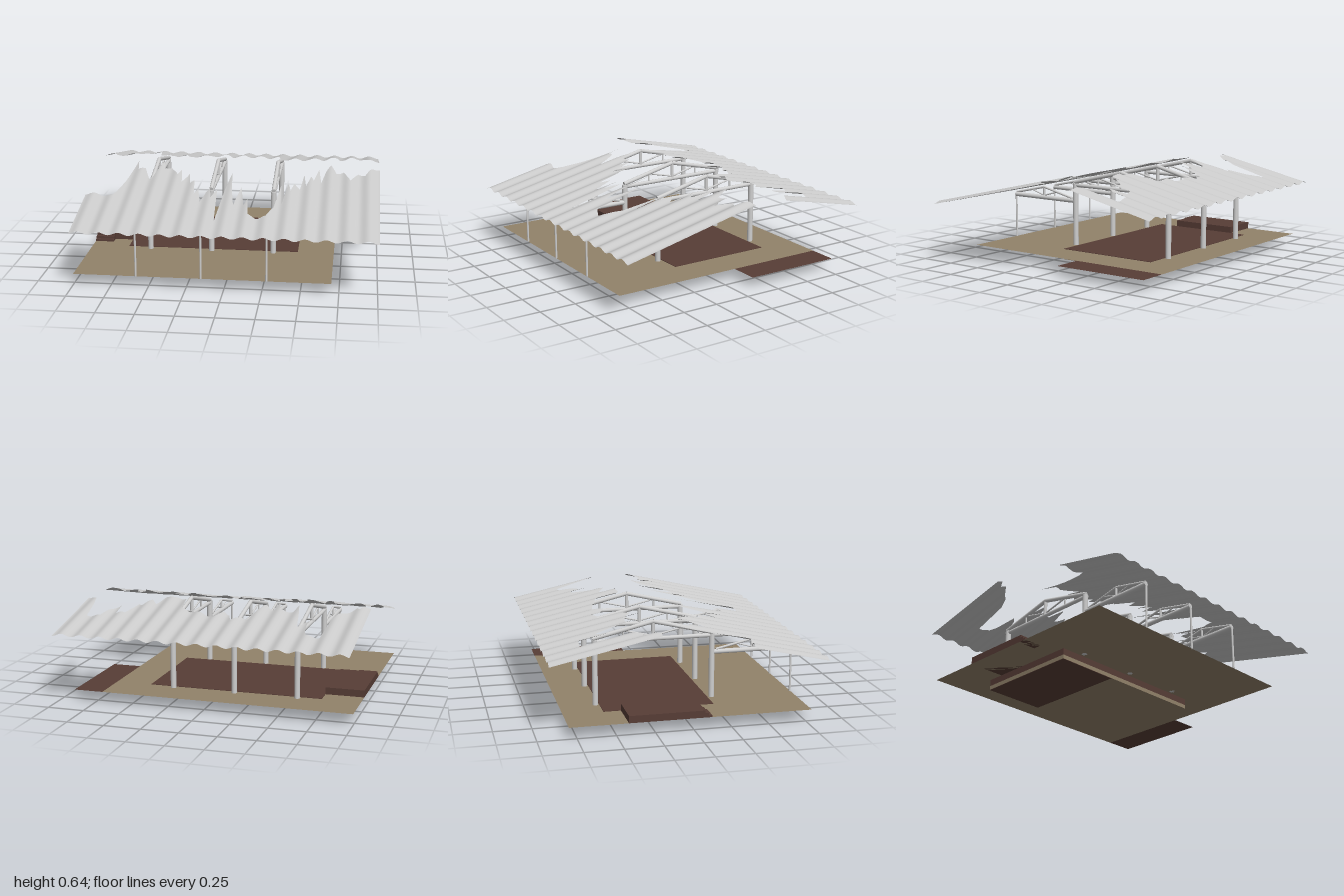
import * as THREE from 'three';

const mat = (name, color, side = THREE.FrontSide) => {
  const m = new THREE.MeshStandardMaterial({ color, side });
  m.name = name;
  return m;
};

// Torn edges of the two roof sheets, as x, z pairs
const backEdge = [
  -0.99, -0.2, -0.95, -0.2, -0.92, -0.25, -0.9, -0.22, -0.85, -0.29, -0.8, -0.34, -0.77, -0.42, -0.75, -0.68,
  -0.66, -0.68, -0.64, -0.62, -0.62, -0.46, -0.6, -0.48, -0.57, -0.55, -0.54, -0.38, -0.51, -0.24, -0.49, -0.33,
  -0.4, -0.33, -0.37, -0.21, -0.35, -0.33, -0.3, -0.27, -0.25, -0.35, -0.22, -0.48, -0.17, -0.47, -0.11, -0.53,
  -0.08, -0.44, -0.03, -0.4, 0.01, -0.5, 0.08, -0.46, 0.15, -0.44, 0.22, -0.42, 0.27, -0.4, 0.29, -0.25,
  0.35, -0.22, 0.4, -0.24, 0.45, -0.22, 0.48, -0.34, 0.52, -0.3, 0.57, -0.38, 0.6, -0.35, 0.64, -0.52,
  0.7, -0.53, 0.71, -0.4, 0.77, -0.49, 0.79, -0.59, 0.89, -0.59, 0.91, -0.42, 0.93, -0.33, 0.97, -0.31, 1, -0.3,
];
const frontEdge = [
  -0.99, 0.41, -0.9, 0.41, -0.8, 0.43, -0.78, 0.38, -0.75, 0.22, -0.71, -0.08, -0.69, 0.05, -0.64, 0.04,
  -0.6, 0.15, -0.58, 0.18, -0.55, 0.05, -0.52, -0.05, -0.5, 0.03, -0.46, 0, -0.4, 0.12, -0.38, 0.05,
  -0.36, 0.2, -0.32, 0.08, -0.3, 0.22, -0.27, 0.2, -0.25, 0.38, -0.23, 0.3, -0.2, 0.45, -0.17, 0.33,
  -0.15, 0.3, -0.13, 0.42, -0.1, 0.3, -0.075, 0.7, -0.05, 0.3, -0.02, 0.07, 0, 0.3, 0.03, 0.5,
  0.06, 0.24, 0.1, 0.5, 0.12, 0.42, 0.14, 0.62, 0.2, 0.65, 0.26, 0.63, 0.3, 0.52, 0.33, 0.2,
  0.35, 0.45, 0.38, 0.2, 0.4, 0.3, 0.42, 0.2, 0.46, 0.25, 0.48, 0.05, 0.5, 0.22, 0.53, 0.1,
  0.55, 0.15, 0.58, -0.03, 0.6, 0.15, 0.63, 0, 0.66, -0.07, 0.7, 0.03, 0.75, 0, 0.8, 0.14,
  0.85, 0.02, 0.9, 0.05, 0.94, -0.03, 1, -0.05,
];

function edgeAt(edge, x) {
  for (let i = 0; i < edge.length - 2; i += 2) {
    if (x <= edge[i + 2]) {
      const t = (x - edge[i]) / (edge[i + 2] - edge[i]);
      return edge[i + 1] + t * (edge[i + 3] - edge[i + 1]);
    }
  }
  return edge[edge.length - 1];
}

// Corrugated sheet running from a straight eave to a torn edge
function roofSheet(edge, eaveZ, heightAt) {
  const n = 398, pos = [], index = [];
  for (let i = 0; i <= n; i++) {
    const x = -0.99 + (1.99 * i) / n;
    const wave = 0.009 * Math.cos((x * 2 * Math.PI) / 0.133);
    for (const z of [eaveZ, edgeAt(edge, x)]) pos.push(x, heightAt(z) + wave, z);
    if (i < n) {
      const a = i * 2;
      if (eaveZ > 0) index.push(a, a + 2, a + 1, a + 1, a + 2, a + 3);
      else index.push(a, a + 1, a + 2, a + 1, a + 3, a + 2);
    }
  }
  const g = new THREE.BufferGeometry();
  g.setAttribute('position', new THREE.Float32BufferAttribute(pos, 3));
  g.setIndex(index);
  g.computeVertexNormals();
  return g;
}

export function createModel() {
  const model = new THREE.Group();
  model.name = 'tornRoofPavilion';
  const brown = mat('brown', 0x573d36);
  const brownSheet = mat('brownSheet', 0x573d36, THREE.DoubleSide);
  const tan = mat('tan', 0x92826a);
  const tanSheet = mat('tanSheet', 0x92826a, THREE.DoubleSide);
  const steel = mat('steel', 0xcfcfcf);
  const roofMetal = mat('roofMetal', 0xcacaca, THREE.DoubleSide);

  const add = (name, geo, material, parent = model) => {
    const m = new THREE.Mesh(geo, material);
    m.name = name;
    parent.add(m);
    return m;
  };
  // Box given by its limits
  const box = (name, material, x0, x1, y0, y1, z0, z1) =>
    add(name, new THREE.BoxGeometry(x1 - x0, y1 - y0, z1 - z0), material)
      .position.set((x0 + x1) / 2, (y0 + y1) / 2, (z0 + z1) / 2);
  // Flat sheet at floor level
  const sheet = (name, material, x0, x1, z0, z1) =>
    add(name, new THREE.PlaneGeometry(x1 - x0, z1 - z0).rotateX(-Math.PI / 2), material)
      .position.set((x0 + x1) / 2, 0.075, (z0 + z1) / 2);

  // Ground and raised floor
  sheet('ground', tanSheet, -1, 0.7, -0.8, 0.79);
  sheet('sidePath', brownSheet, 0.7, 0.9, -0.8, -0.115);
  box('platformBase', tan, -0.74, 0.45, 0.003, 0.03, -0.535, 0.2);
  box('platformFloor', brown, -0.74, 0.45, 0.03, 0.078, -0.535, 0.2);
  box('baseUnderlay', brown, -0.74, -0.3, 0, 0.003, -0.535, 0.2);

  // Low stage with steps
  box('stage', brown, -1, -0.74, 0.075, 0.122, -0.42, 0.06);
  [[0.075, 0.122], [0.097, 0.104], [0.12, 0.088]].forEach(([z, y], i) =>
    box('step' + (i + 1), brown, -1, -0.87, 0.075, y, 0.06, z));

  // Round bar between two z, y points
  const bar = (parent, name, r, z0, y0, z1, y1) => {
    const m = add(name, new THREE.CylinderGeometry(r, r, Math.hypot(z1 - z0, y1 - y0), 16), steel, parent);
    m.position.set(0, (y0 + y1) / 2, (z0 + z1) / 2);
    m.rotation.x = Math.atan2(z1 - z0, y1 - y0);
  };

  // Three frames, each with posts, a main truss and a porch truss
  [-0.58, -0.15, 0.28].forEach((x, i) => {
    const f = new THREE.Group();
    f.name = 'frame' + (i + 1);
    f.position.x = x;
    model.add(f);
    bar(f, 'frontPost', 0.019, 0.23, 0.075, 0.23, 0.515);
    bar(f, 'backPost', 0.019, -0.56, 0.075, -0.56, 0.515);
    bar(f, 'porchPost', 0.007, 0.787, 0.075, 0.787, 0.385);

    bar(f, 'mainTie', 0.014, 0.245, 0.502, -0.575, 0.502);
    bar(f, 'mainKingPost', 0.012, -0.17, 0.5, -0.17, 0.625);
    for (const s of [1, -1]) {
      bar(f, 'mainRafter', 0.014, -0.17 + s * 0.405, 0.522, -0.17, 0.618);
      bar(f, 'mainStrut', 0.006, -0.17 + s * 0.2, 0.5, -0.17 + s * 0.2, 0.567);
      bar(f, 'mainBrace', 0.006, -0.17, 0.52, -0.17 + s * 0.2, 0.567);
    }

    bar(f, 'porchTie', 0.016, 0.787, 0.388, 0.24, 0.388);
    bar(f, 'porchKingPost', 0.008, 0.52, 0.39, 0.52, 0.463);
    for (const s of [1, -1]) {
      bar(f, 'porchRafter', 0.008, 0.52 + s * 0.262, 0.404, 0.52, 0.463);
      bar(f, 'porchBrace', 0.005, 0.52, 0.402, 0.52 + s * 0.12, 0.437);
    }
  });

  // Torn corrugated roof
  add('frontRoof', roofSheet(frontEdge, 0.907, (z) => 0.402 + (0.907 - z) * 0.228), roofMetal);
  add('backRoof', roofSheet(backEdge, -0.913, (z) => 0.475 + (z + 0.913) * 0.218), roofMetal);
  return model;
}
